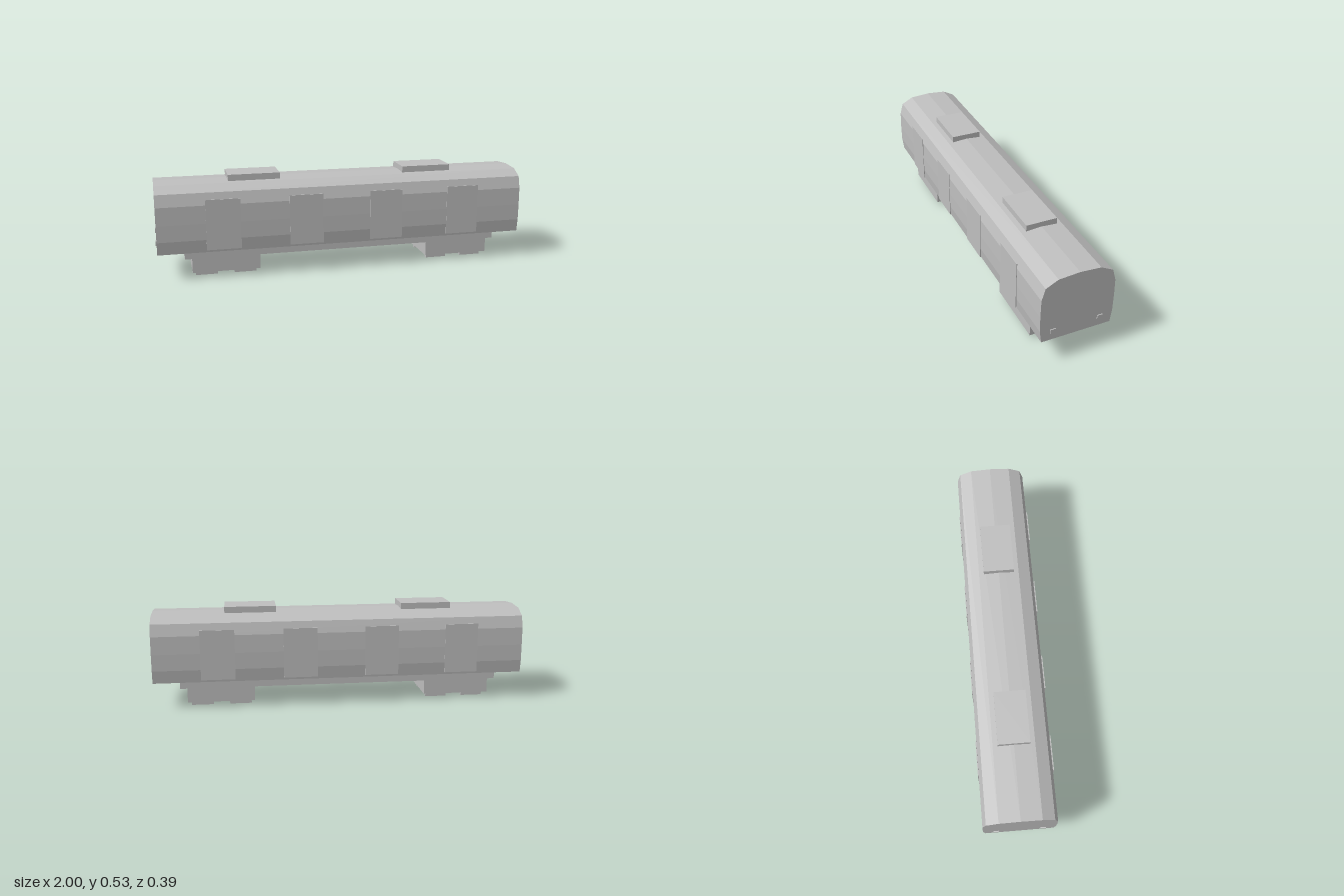
import * as THREE from 'three';

const paint = new THREE.MeshStandardMaterial({ color: 0xbfbfbf, flatShading: true });
paint.name = 'plain grey';

// Box given by its lower and upper limits on each axis
function box(name, [x0, x1], [y0, y1], [z0, z1]) {
  const mesh = new THREE.Mesh(new THREE.BoxGeometry(x1 - x0, y1 - y0, z1 - z0), paint);
  mesh.position.set((x0 + x1) / 2, (y0 + y1) / 2, (z0 + z1) / 2);
  mesh.name = name;
  return mesh;
}

// Rectangular ring of upright walls, open above and below
function wallRing(name, halfX, halfZ, y0, y1, thick) {
  const rect = (a, b) => [[-a, -b], [a, -b], [a, b], [-a, b]].map(p => new THREE.Vector2(...p));
  const shape = new THREE.Shape(rect(halfX, halfZ));
  shape.holes.push(new THREE.Path(rect(halfX - thick, halfZ - thick).reverse()));
  const geo = new THREE.ExtrudeGeometry(shape, { depth: y1 - y0, bevelEnabled: false });
  geo.rotateX(-Math.PI / 2).translate(0, y0, 0);
  const mesh = new THREE.Mesh(geo, paint);
  mesh.name = name;
  return mesh;
}

// Carriage shell: faceted cross-section swept along the length
function carriageBody() {
  const half = [[0.181, 0.145], [0.19, 0.213], [0.191, 0.3], [0.189, 0.395],
    [0.171, 0.458], [0.108, 0.491]];
  const points = [...half, [0, 0.499], ...half.map(([z, y]) => [-z, y]).reverse()];
  const shape = new THREE.Shape(points.map(p => new THREE.Vector2(...p)));
  const geo = new THREE.ExtrudeGeometry(shape, { depth: 1.99, bevelEnabled: false });
  geo.translate(0, 0, -0.995).rotateY(Math.PI / 2);
  const mesh = new THREE.Mesh(geo, paint);
  mesh.name = 'carriageBody';
  return mesh;
}

// Hollow bogie frame with four wheel blocks hanging inside
function bogie() {
  const group = new THREE.Group();
  group.name = 'bogie';
  group.add(wallRing('bogieFrame', 0.178, 0.15, 0.027, 0.105, 0.004));
  group.add(box('bogieTop', [-0.178, 0.178], [0.103, 0.108], [-0.15, 0.15]));
  for (const sx of [-1, 1]) for (const sz of [-1, 1]) {
    const x = sx * 0.102, z = sz * 0.099;
    group.add(box('wheelBlock', [x - 0.058, x + 0.058], [0, 0.104], [z - 0.01, z + 0.01]));
  }
  return group;
}

export function createModel() {
  const model = new THREE.Group();
  model.name = 'railCarriage';
  model.add(carriageBody());

  // Open skirt under the floor
  model.add(wallRing('underframeSkirt', 0.857, 0.156, 0.105, 0.146, 0.007));

  for (const s of [-1, 1]) {
    const b = bogie();
    b.position.x = s * 0.642;
    model.add(b);

    // Roof equipment
    const rx = s * 0.477;
    model.add(box('roofUnit', [rx - 0.137, rx + 0.137], [0.485, 0.526], [-0.082, 0.082]));

    // Door plates along each side
    for (const dx of [-0.654, -0.218, 0.218, 0.654]) {
      const z = s * 0.191;
      model.add(box('door', [dx - 0.09, dx + 0.09], [0.158, 0.424], [z - 0.002, z + 0.002]));
    }

    // Lamps on each end
    for (const z of [-0.123, 0.123]) {
      const x = s * 0.996;
      model.add(box('endLamp', [x - 0.004, x + 0.004], [0.185, 0.208], [z - 0.0145, z + 0.0145]));
    }
  }
  return model;
}
